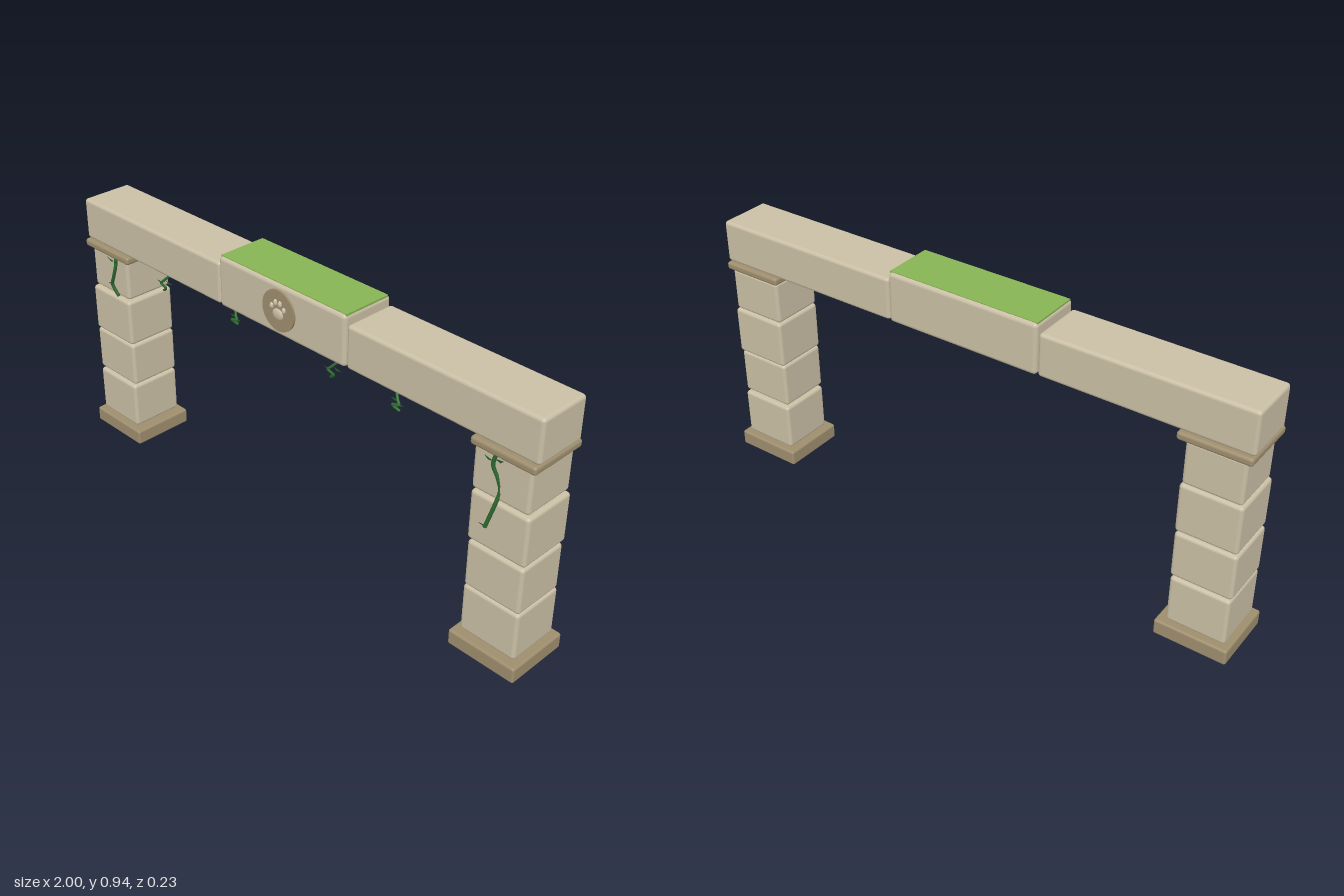
import * as THREE from 'three';
import { RoundedBoxGeometry } from 'three/addons/geometries/RoundedBoxGeometry.js';

const mat = (name, color, side = THREE.FrontSide) => {
  const m = new THREE.MeshStandardMaterial({ color, side });
  m.name = name;
  return m;
};

export function createModel() {
  const model = new THREE.Group();
  model.name = 'stoneGateway';
  const stone = mat('pale stone', 0xcabfa5);
  const trim = mat('dark stone', 0x9e8e6e);
  const moss = mat('moss green', 0x88b454);
  const vine = mat('vine green', 0x2d6a30);
  const leafMat = mat('leaf green', 0x2f7a38, THREE.DoubleSide);

  const add = (parent, name, geometry, material) => {
    const mesh = new THREE.Mesh(geometry, material);
    mesh.name = name;
    parent.add(mesh);
    return mesh;
  };
  // rounded block given by its limits on each axis
  const block = (parent, name, [x0, x1], [y0, y1], [z0, z1], r, material) =>
    add(parent, name, new RoundedBoxGeometry(x1 - x0, y1 - y0, z1 - z0, 3, r), material)
      .position.set((x0 + x1) / 2, (y0 + y1) / 2, (z0 + z1) / 2);

  // pillars: plinth, four uneven blocks and a cap
  const courses = [[0.06, 0.232], [0.237, 0.402], [0.406, 0.578], [0.582, 0.735]];
  const pillars = [
    { name: 'rightPillar', base: [-1, -0.75], cap: [-0.995, -0.757],
      x: [[-0.982, -0.78], [-0.985, -0.778], [-0.982, -0.776], [-0.977, -0.783]],
      z: [[-0.103, 0.092], [-0.102, 0.088], [-0.1, 0.092], [-0.1, 0.083]] },
    { name: 'leftPillar', base: [0.75, 1], cap: [0.764, 0.99],
      x: [[0.772, 0.978], [0.777, 0.98], [0.772, 0.98], [0.77, 0.972]],
      z: [[-0.104, 0.086], [-0.097, 0.09], [-0.105, 0.088], [-0.104, 0.084]] },
  ];
  for (const p of pillars) {
    const pillar = new THREE.Group();
    pillar.name = p.name;
    model.add(pillar);
    block(pillar, 'plinth', p.base, [0, 0.056], [-0.121, 0.111], 0.008, trim);
    courses.forEach((y, i) => block(pillar, 'pillarBlock', p.x[i], y, p.z[i], 0.012, stone));
    block(pillar, 'cap', p.cap, [0.732, 0.76], [-0.112, 0.1], 0.01, trim);
  }

  // lintel: two beams and a taller keystone with moss on top
  block(model, 'rightBeam', [-0.995, -0.283], [0.76, 0.908], [-0.101, 0.088], 0.012, stone);
  block(model, 'leftBeam', [0.28, 0.992], [0.76, 0.908], [-0.101, 0.088], 0.012, stone);
  block(model, 'keystone', [-0.28, 0.277], [0.76, 0.936], [-0.105, 0.092], 0.014, stone);
  add(model, 'mossTop', new THREE.BoxGeometry(0.55, 0.007, 0.177), moss).position.set(-0.001, 0.9345, -0.006);

  // round medallion with a raised paw print
  const medallion = new THREE.Group();
  medallion.name = 'medallion';
  medallion.position.set(0, 0.85, 0.092);
  model.add(medallion);
  add(medallion, 'disc', new THREE.CylinderGeometry(0.07, 0.07, 0.014, 40), trim).rotation.x = Math.PI / 2;
  const pads = [[0, -0.012, 0.024, 0.02], [-0.027, 0.01, 0.008, 0.011], [-0.01, 0.026, 0.008, 0.012],
    [0.01, 0.026, 0.008, 0.012], [0.027, 0.01, 0.008, 0.011]];
  for (const [x, y, rx, ry] of pads) {
    const pad = add(medallion, 'pawPad', new THREE.SphereGeometry(1, 16, 10), stone);
    pad.position.set(x, y, 0.006);
    pad.scale.set(rx, ry, 0.008);
  }

  // pointed leaf, folded a little along its middle
  const leafGeo = new THREE.BufferGeometry();
  leafGeo.setAttribute('position', new THREE.Float32BufferAttribute(
    [0, 0, 0, 0.009, 0.014, 0.003, 0, 0.034, 0, -0.009, 0.014, 0.003], 3));
  leafGeo.setIndex([0, 1, 2, 0, 2, 3]);
  leafGeo.computeVertexNormals();

  // a vine is a thin tube with leaves [x, y, z, turn]
  const addVine = (name, points, radius, leaves) => {
    const group = new THREE.Group();
    group.name = name;
    model.add(group);
    const path = new THREE.CatmullRomCurve3(points.map((p) => new THREE.Vector3(...p)));
    add(group, 'stem', new THREE.TubeGeometry(path, 24, radius, 6), vine);
    for (const [x, y, z, turn] of leaves) {
      const leaf = add(group, 'leaf', leafGeo, leafMat);
      leaf.position.set(x, y, z);
      leaf.rotation.set(0.5, 0, turn, 'XYZ');
    }
  };

  // climbing vines on the pillars
  addVine('rightPillarVine', [[-0.835, 0.755, 0.09], [-0.83, 0.71, 0.096], [-0.845, 0.66, 0.098],
    [-0.86, 0.625, 0.094], [-0.84, 0.582, 0.086]], 0.006,
  [[-0.832, 0.72, 0.098, -1.1], [-0.832, 0.725, 0.1, 1.2], [-0.855, 0.63, 0.095, 1.9]]);
  addVine('leftPillarVine', [[0.855, 0.745, 0.09], [0.845, 0.7, 0.092], [0.86, 0.655, 0.084],
    [0.868, 0.615, 0.08], [0.862, 0.57, 0.09], [0.852, 0.53, 0.094], [0.842, 0.488, 0.1]], 0.006,
  [[0.855, 0.722, 0.095, -1.2], [0.85, 0.715, 0.098, 1], [0.85, 0.495, 0.1, 1.7]]);

  // curly tendrils hanging under the lintel
  const tendrils = [[-0.56, 1, 1], [-0.205, -1, 0.7], [0.23, 1, 1], [0.49, -1, 0.9]];
  for (const [x, s, h] of tendrils) {
    addVine('tendril', [[x + 0.012 * s, 0.765, 0.082], [x - 0.005 * s, 0.76 - 0.014 * h, 0.094],
      [x - 0.014 * s, 0.76 - 0.024 * h, 0.098], [x + 0.012 * s, 0.76 - 0.032 * h, 0.1],
      [x + 0.002 * s, 0.76 - 0.044 * h, 0.094], [x - 0.01 * s, 0.76 - 0.052 * h, 0.09]], 0.0045,
    [[x, 0.76 - 0.02 * h, 0.098, 1.5 * s], [x, 0.76 - 0.012 * h, 0.09, -1.9 * s]]);
  }
  return model;
}
